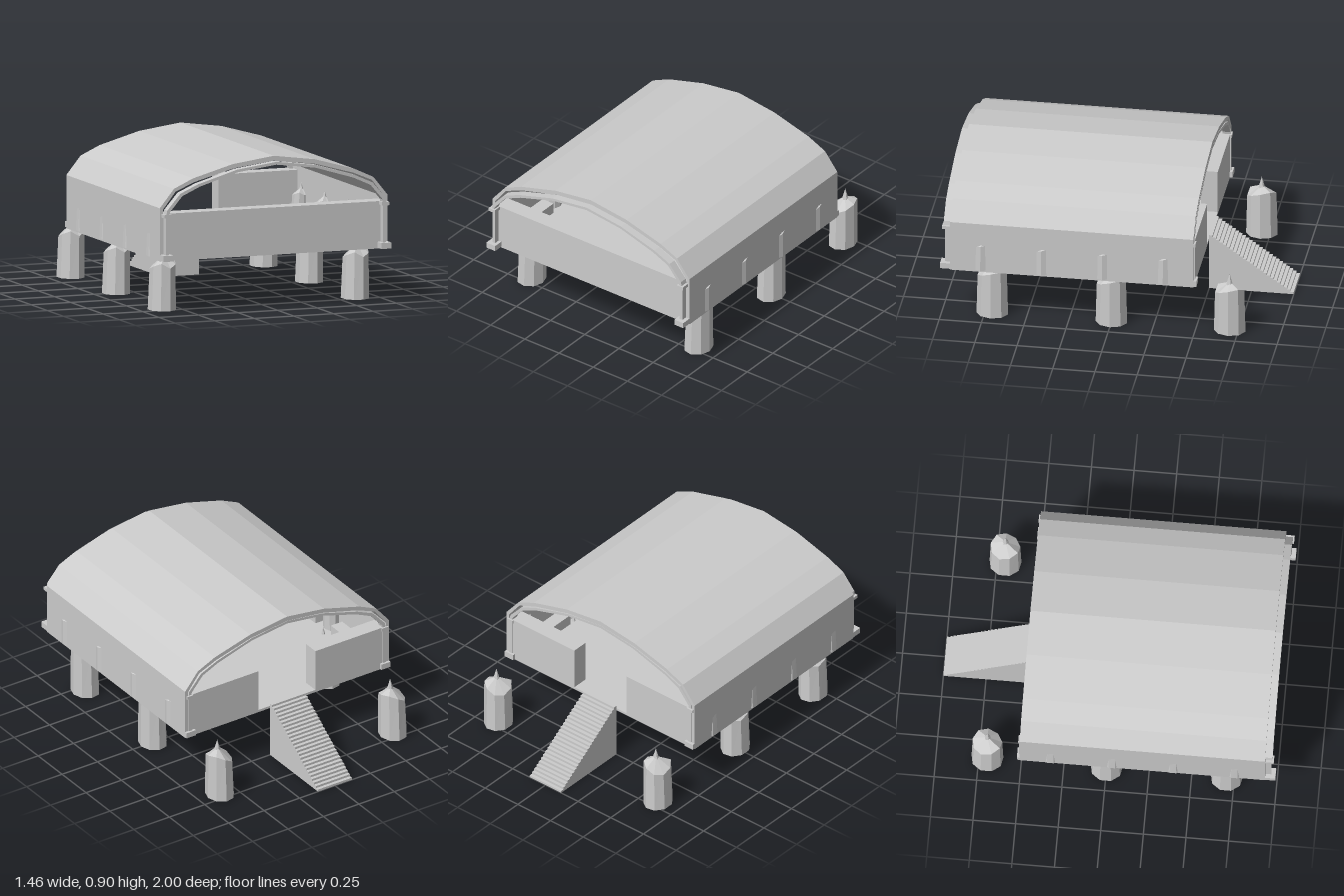
import * as THREE from 'three';

const mat = new THREE.MeshStandardMaterial({ color: 0xcccccc, flatShading: true, side: THREE.DoubleSide });

function mesh(name, geometry, parent) {
  const m = new THREE.Mesh(geometry, mat);
  m.name = name;
  parent.add(m);
  return m;
}

// box given by its minimum and maximum corners
function box(name, parent, x0, x1, y0, y1, z0, z1) {
  const m = mesh(name, new THREE.BoxGeometry(x1 - x0, y1 - y0, z1 - z0), parent);
  m.position.set((x0 + x1) / 2, (y0 + y1) / 2, (z0 + z1) / 2);
  return m;
}

// band between two half profiles (listed from eave to ridge), mirrored in x
function arch(name, parent, outer, inner, z0, z1) {
  const span = half => [...half, ...half.slice(0, -1).reverse().map(([x, y]) => [-x, y])];
  const pts = [...span(outer), ...span(inner).reverse()].map(([x, y]) => new THREE.Vector2(x, y));
  const g = new THREE.ExtrudeGeometry(new THREE.Shape(pts), { depth: z1 - z0, bevelEnabled: false });
  mesh(name, g, parent).position.z = z0;
}

// rough cut trunk: leaning sides, slanted rim, off-centre peak and a splinter
function stump(name, parent, x, y, z, s = 1, sy = s) {
  const group = new THREE.Group();
  group.name = name;
  const sides = 9, pos = [], idx = [];
  const rim = [0.29, 0.27, 0.25, 0.28, 0.26, 0.24, 0.25, 0.28, 0.3];
  for (let i = 0; i < sides; i++) {
    const a = (i / sides) * Math.PI * 2;
    const c = Math.cos(a), d = Math.sin(a);
    pos.push(c * 0.082, 0, d * 0.095, c * 0.076 + 0.005, rim[i], d * 0.088);
  }
  pos.push(0, 0, 0, 0.015, 0.325, 0);
  for (let i = 0; i < sides; i++) {
    const a = 2 * i, b = 2 * ((i + 1) % sides);
    idx.push(a, a + 1, b, b, a + 1, b + 1, 2 * sides, a, b, 2 * sides + 1, b + 1, a + 1);
  }
  const g = new THREE.BufferGeometry();
  g.setAttribute('position', new THREE.Float32BufferAttribute(pos, 3));
  g.setIndex(idx);
  g.computeVertexNormals();
  mesh('trunk', g, group);
  mesh('splinter', new THREE.ConeGeometry(0.022, 0.08, 6), group).position.set(0.018, 0.34, 0);
  group.position.set(x, y, z);
  group.scale.set(s, sy, s);
  parent.add(group);
}

export function createModel() {
  const model = new THREE.Group();
  model.name = 'raisedHall';

  // floor and low walls, with a doorway at the back
  box('floor', model, -0.72, 0.72, 0.32, 0.335, -0.5, 0.94);
  box('frontWall', model, -0.7, 0.7, 0.32, 0.6, 0.84, 0.94);
  for (const s of [-1, 1]) {
    const side = new THREE.Group();
    side.name = s > 0 ? 'leftSide' : 'rightSide';
    model.add(side);
    const part = (name, a, b, ...rest) => box(name, side, Math.min(s * a, s * b), Math.max(s * a, s * b), ...rest);
    part('sideWall', 0.7, 0.72, 0.32, 0.6, -0.5, 0.94);
    part('backWall', 0.2, 0.7, 0.32, 0.6, -0.5, -0.4);

    // corner posts with base and cap
    for (const [z0, z1, zb] of [[0.94, 0.975, 1], [-0.505, -0.49, -0.517]]) {
      const front = z0 > 0;
      const lo = front ? z0 : zb, hi = front ? zb : z1;
      part('cornerPost', 0.675, 0.695, 0.36, 0.58, z0, z1);
      part('postBase', 0.655, 0.72, 0.325, 0.36, lo, hi);
      part('postCap', 0.665, 0.71, 0.58, 0.6, front ? lo : -0.51, front ? 0.99 : hi);
    }

    // trunks along the inside of the wall, with benches between
    for (const z of [0.76, 0.4, 0.04, -0.32]) stump('innerTrunk', side, s * 0.68, 0.33, z, 0.6, 0.55);
    for (const z of [0.58, 0.22, -0.14]) part('bench', 0.62, 0.7, 0.335, 0.4, z - 0.1, z + 0.1);

    // supports under the floor
    for (const z of [0.705, 0, -0.7]) stump('supportStump', side, s * 0.61, 0, z);
  }

  // curved roof and the slimmer arches at its two ends
  arch('roof', model,
    [[0.72, 0.6], [0.72, 0.635], [0.63, 0.745], [0.51, 0.8], [0.26, 0.87], [0, 0.905]],
    [[0.7, 0.6], [0.7, 0.625], [0.62, 0.728], [0.5, 0.778], [0.255, 0.845], [0, 0.876]], -0.5, 0.94);
  for (const [z0, z1] of [[0.935, 0.982], [-0.5, -0.455]]) {
    arch('endArch', model,
      [[0.695, 0.6], [0.69, 0.625], [0.607, 0.72], [0.495, 0.77], [0.25, 0.842], [0, 0.875]],
      [[0.675, 0.6], [0.672, 0.615], [0.595, 0.705], [0.485, 0.755], [0.245, 0.827], [0, 0.858]], z0, z1);
  }

  // solid back stairs, profile drawn in (distance from wall, height)
  const steps = 25, run = 0.5 / steps, rise = 0.35 / steps;
  const profile = new THREE.Shape().moveTo(0, 0);
  for (let i = 0; i < steps; i++) {
    const y = (steps - i) * rise;
    profile.lineTo(i * run, y).lineTo((i + 1) * run, y);
  }
  profile.lineTo(0.5, 0);
  const stairs = mesh('stairs', new THREE.ExtrudeGeometry(profile, { depth: 0.24, bevelEnabled: false }), model);
  stairs.rotation.y = Math.PI / 2;
  stairs.position.set(-0.12, 0, -0.5);

  return model;
}
